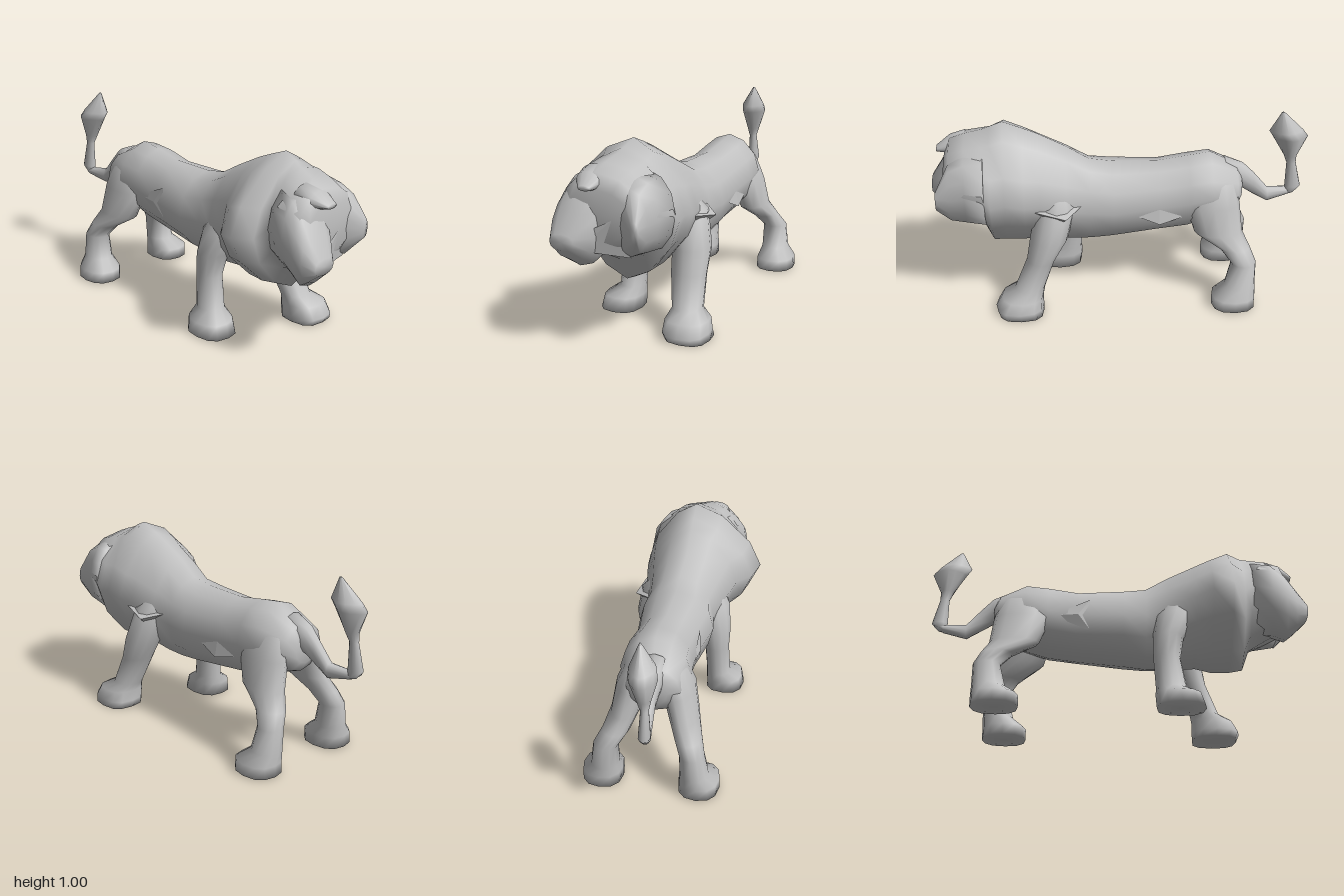
import * as THREE from 'three';

const SIDES = 12;

// Skin over superellipse rings [t, a0, a1, b0, b1, exponent, ridge], t increasing;
// ridge is the b position of the top and bottom points.
// axis 'x': t = x, a = y, b = z.   axis 'y': t = y, a = z, b = x.
function loft(rings, axis) {
  const pos = [], idx = [];
  const put = (t, a, b) => (axis === 'x' ? pos.push(t, a, b) : pos.push(b, t, a));
  const sp = (v, n) => Math.sign(v) * Math.pow(Math.abs(v), 2 / n);
  for (const [t, a0, a1, b0, b1, n = 2, ridge = (b0 + b1) / 2] of rings) {
    for (let j = 0; j < SIDES; j++) {
      const w = (j / SIDES) * Math.PI * 2, s = sp(Math.sin(w), n);
      put(t, (a0 + a1) / 2 + ((a1 - a0) / 2) * sp(Math.cos(w), n),
        ridge + s * (s > 0 ? b1 - ridge : ridge - b0));
    }
  }
  const last = (rings.length - 1) * SIDES;
  for (let i = 0; i < last; i += SIDES) {
    for (let j = 0; j < SIDES; j++) {
      const k = (j + 1) % SIDES;
      idx.push(i + j, i + k, i + SIDES + k, i + j, i + SIDES + k, i + SIDES + j);
    }
  }
  // end caps
  const c = pos.length / 3;
  for (const [t, a0, a1, b0, b1] of [rings[0], rings[rings.length - 1]]) put(t, (a0 + a1) / 2, (b0 + b1) / 2);
  for (let j = 0; j < SIDES; j++) {
    const k = (j + 1) % SIDES;
    idx.push(c, k, j, c + 1, last + j, last + k);
  }
  const g = new THREE.BufferGeometry();
  g.setAttribute('position', new THREE.Float32BufferAttribute(pos, 3));
  g.setIndex(idx);
  g.computeVertexNormals();
  return g;
}

// Sharp four-cornered fold of skin
function fold(p) {
  const g = new THREE.BufferGeometry();
  const pts = [0, 1, 2, 0, 2, 3, 0, 3, 1, 1, 3, 2].flatMap((i) => p[i]);
  g.setAttribute('position', new THREE.Float32BufferAttribute(pts, 3));
  g.computeVertexNormals();
  return g;
}

export function createModel() {
  const model = new THREE.Group();
  const hide = new THREE.MeshStandardMaterial({ color: 0xc0c0c0 });
  hide.name = 'grey hide';
  hide.side = THREE.DoubleSide;
  const add = (name, geometry) => {
    const mesh = new THREE.Mesh(geometry, hide);
    mesh.name = name;
    model.add(mesh);
  };

  // Torso running into the big mane
  add('bodyAndMane', loft([
    [-0.65, 0.52, 0.67, -0.08, 0.07],
    [-0.62, 0.47, 0.72, -0.14, 0.13],
    [-0.48, 0.42, 0.80, -0.20, 0.16, 1.8],
    [-0.36, 0.385, 0.785, -0.20, 0.15],
    [-0.20, 0.36, 0.757, -0.185, 0.15],
    [0.04, 0.335, 0.76, -0.215, 0.19],
    [0.16, 0.32, 0.78, -0.20, 0.17],
    [0.28, 0.31, 0.85, -0.22, 0.21, 1.8, 0],
    [0.42, 0.32, 0.925, -0.25, 0.26, 1.6, 0],
    [0.50, 0.30, 0.96, -0.265, 0.34, 1.5, 0],
    [0.60, 0.30, 1.0, -0.27, 0.375, 1.5, 0],
    [0.67, 0.31, 0.97, -0.275, 0.29, 1.6, 0.01],
    [0.71, 0.42, 0.95, -0.27, 0.25, 1.8, 0.02],
    [0.80, 0.47, 0.92, -0.24, 0.25, 2, 0.04],
    [0.88, 0.51, 0.89, -0.21, 0.23, 2, 0.05],
    [0.91, 0.56, 0.82, -0.16, 0.19, 2, 0.05],
  ], 'x'));

  // Face: nose bridge and muzzle turned to one side, cheek ruff on the other
  add('muzzle', loft([
    [0.72, 0.49, 0.90, -0.10, 0.25],
    [0.82, 0.47, 0.87, -0.04, 0.265, 2.2],
    [0.89, 0.43, 0.80, 0.0, 0.268, 2.2],
    [0.94, 0.47, 0.71, 0.04, 0.262, 2.3],
    [1.0, 0.53, 0.61, 0.10, 0.23, 2.4],
  ], 'x'));
  add('browTuft', loft([
    [0.80, 0.80, 0.91, 0.0, 0.17],
    [0.88, 0.80, 0.89, 0.01, 0.15],
    [0.95, 0.815, 0.84, 0.035, 0.10],
  ], 'x'));
  add('cheekRuff', loft([
    [0.70, 0.48, 0.88, -0.27, 0.02],
    [0.80, 0.49, 0.87, -0.24, 0.0],
    [0.88, 0.51, 0.83, -0.225, -0.04],
    [0.95, 0.60, 0.70, -0.21, -0.17],
  ], 'x'));
  add('mouthFold', fold([[0.93, 0.62, 0.07], [0.91, 0.68, -0.05], [0.87, 0.5, -0.13], [0.94, 0.52, 0.12]]));

  // Front legs: one upright, one stepping forward
  add('frontLegUpright', loft([
    [0.01, 0.12, 0.335, 0.20, 0.45, 2.6],
    [0.08, 0.12, 0.325, 0.195, 0.43, 2.4],
    [0.125, 0.125, 0.26, 0.20, 0.36],
    [0.30, 0.115, 0.25, 0.19, 0.33],
    [0.42, 0.08, 0.255, 0.19, 0.35],
    [0.55, 0.0, 0.24, 0.20, 0.42],
    [0.72, 0.04, 0.15, 0.28, 0.41],
  ], 'y'));
  add('frontLegStepping', loft([
    [0.005, -0.375, -0.15, 0.42, 0.66, 2.8],
    [0.04, -0.37, -0.14, 0.42, 0.675, 2.6],
    [0.10, -0.36, -0.14, 0.42, 0.64, 2.5],
    [0.14, -0.31, -0.15, 0.41, 0.57],
    [0.30, -0.30, -0.11, 0.35, 0.50],
    [0.42, -0.30, -0.10, 0.28, 0.48],
    [0.60, -0.26, -0.03, 0.23, 0.44],
    [0.70, -0.15, -0.03, 0.27, 0.42],
  ], 'y'));

  // Hind legs, mirrored, the right one set wider
  const hind = [
    [0.01, 0.12, 0.33, -0.73, -0.49, 2.4],
    [0.07, 0.12, 0.33, -0.73, -0.49, 2.3],
    [0.125, 0.13, 0.28, -0.73, -0.56],
    [0.25, 0.13, 0.26, -0.73, -0.59],
    [0.32, 0.10, 0.24, -0.70, -0.53],
    [0.40, 0.06, 0.21, -0.66, -0.40],
    [0.55, 0.02, 0.185, -0.645, -0.35],
    [0.66, 0.01, 0.14, -0.62, -0.38],
    [0.74, 0.01, 0.07, -0.55, -0.42],
  ];
  add('hindLegLeft', loft(hind, 'y'));
  add('hindLegRight', loft(hind.map(([y, z0, z1, x0, x1, n]) => {
    const s = y < 0.3 ? 0.05 : 0.03;
    return [y, -z1 - s, -z0 - s, x0 + 0.015, x1 + 0.01, n];
  }), 'y'));

  // Tail with upright tuft
  add('tail', loft([
    [-0.97, 0.54, 0.57, 0.01, 0.04],
    [-0.92, 0.507, 0.55, 0.0, 0.045],
    [-0.80, 0.482, 0.565, -0.03, 0.03],
    [-0.72, 0.53, 0.66, -0.035, 0.03],
    [-0.66, 0.57, 0.72, -0.05, 0.045],
    [-0.56, 0.60, 0.76, -0.08, 0.07],
  ], 'x'));
  add('tailTuft', loft([
    [0.52, 0.0, 0.04, -0.95, -0.90],
    [0.56, -0.01, 0.05, -0.985, -0.90],
    [0.70, 0.0, 0.04, -0.95, -0.90],
    [0.75, -0.02, 0.05, -0.95, -0.88],
    [0.86, -0.06, 0.08, -1.0, -0.815, 1.5],
    [0.90, -0.06, 0.07, -0.97, -0.79, 1.5],
    [1.01, -0.015, -0.005, -0.86, -0.845],
  ], 'y'));

  // Creases of skin on shoulder and flanks
  add('shoulderFold', fold([[0.2, 0.6, -0.19], [0.29, 0.57, -0.29], [0.45, 0.6, -0.25], [0.33, 0.5, -0.2]]));
  add('flankFoldRight', fold([[-0.32, 0.5, -0.18], [-0.2, 0.62, -0.17], [-0.08, 0.52, -0.19], [-0.2, 0.47, -0.2]]));
  add('flankFoldLeft', fold([[-0.34, 0.56, 0.14], [-0.14, 0.65, 0.145], [-0.13, 0.47, 0.14], [-0.2, 0.56, 0.16]]));

  return model;
}
